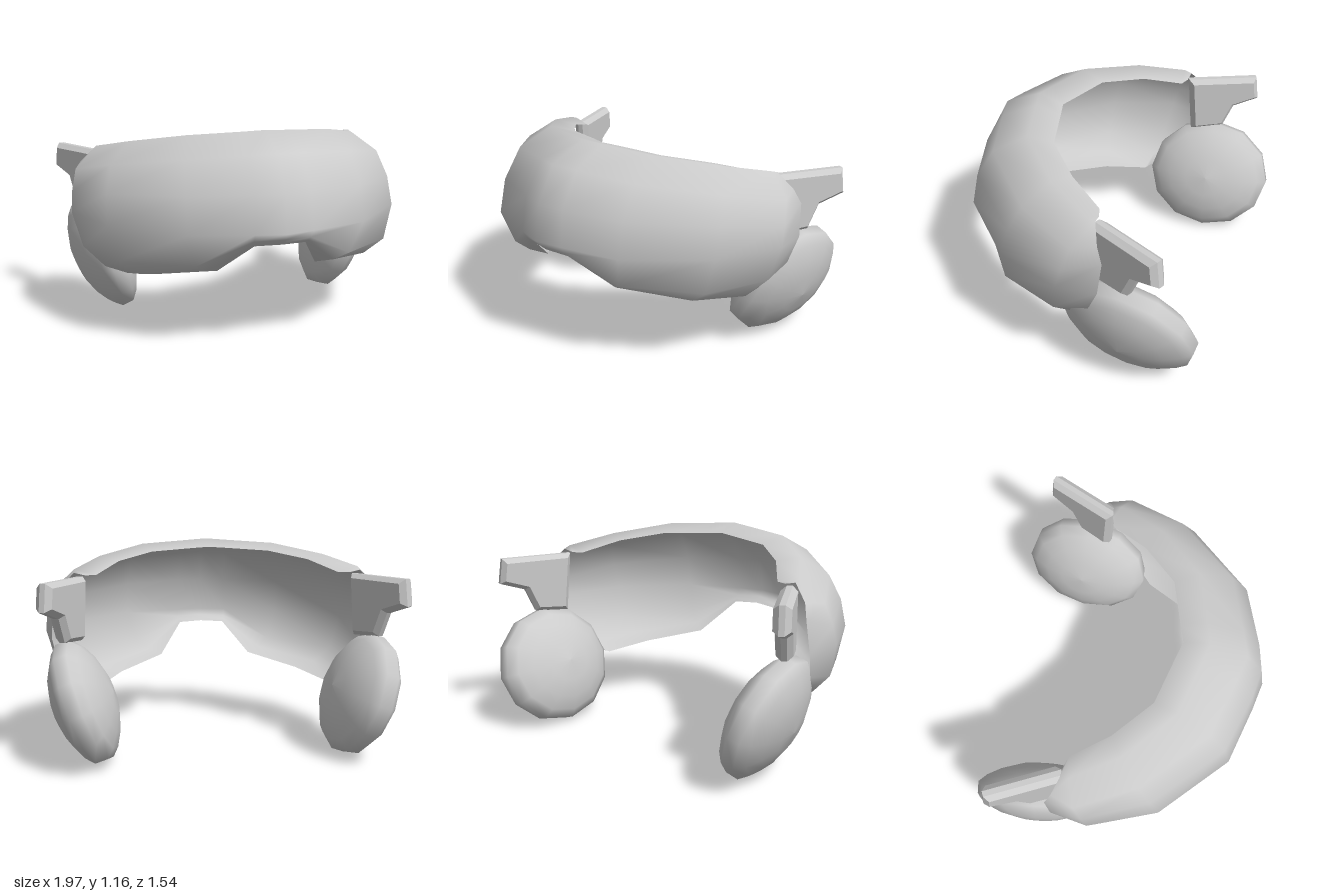
import * as THREE from 'three';

const material = new THREE.MeshStandardMaterial({ color: 0xcccccc });
const shellMaterial = new THREE.MeshStandardMaterial({ color: 0xcccccc, side: THREE.DoubleSide });

// Cross-sections of half the visor, centre to end; each runs from top rim to bottom rim
const sections = [
  [[0, 1.11, 0.29], [0, 1.155, 0.43], [0, 1.06, 0.64], [0, 0.87, 0.74], [0, 0.67, 0.772], [0, 0.635, 0.74], [0, 0.615, 0.72], [0, 0.6, 0.7]],
  [[0.1, 1.105, 0.26], [0.12, 1.147, 0.4], [0.14, 1.053, 0.6], [0.15, 0.87, 0.71], [0.16, 0.67, 0.735], [0.155, 0.63, 0.71], [0.15, 0.61, 0.69], [0.14, 0.595, 0.67]],
  [[0.35, 1.09, 0.19], [0.4, 1.13, 0.32], [0.46, 1.03, 0.5], [0.48, 0.86, 0.6], [0.485, 0.67, 0.64], [0.43, 0.49, 0.59], [0.36, 0.445, 0.54], [0.28, 0.42, 0.47]],
  [[0.55, 1.05, 0], [0.66, 1.075, 0.07], [0.78, 0.97, 0.18], [0.82, 0.83, 0.25], [0.83, 0.67, 0.3], [0.78, 0.47, 0.31], [0.67, 0.385, 0.28], [0.54, 0.36, 0.24]],
  [[0.68, 0.99, -0.2], [0.8, 1.02, -0.18], [0.925, 0.9, -0.14], [0.955, 0.78, -0.1], [0.965, 0.67, -0.07], [0.915, 0.48, -0.03], [0.8, 0.36, 0], [0.68, 0.315, 0.02]],
  [[0.74, 0.99, -0.22], [0.8, 1.005, -0.225], [0.88, 0.92, -0.265], [0.91, 0.84, -0.3], [0.925, 0.66, -0.28], [0.9, 0.52, -0.22], [0.85, 0.43, -0.17], [0.7, 0.325, 0]],
];

function loft(rows) {
  const n = rows[0].length;
  const index = [];
  for (let i = 0; i < rows.length - 1; i++) {
    for (let j = 0; j < n - 1; j++) {
      const a = i * n + j, c = a + n;
      index.push(a, a + 1, c, c, a + 1, c + 1);
    }
  }
  const geometry = new THREE.BufferGeometry();
  geometry.setAttribute('position', new THREE.Float32BufferAttribute(rows.flat(2), 3));
  geometry.setIndex(index);
  geometry.computeVertexNormals();
  return geometry;
}

function named(name, geometry, mat = material) {
  const mesh = new THREE.Mesh(geometry, mat);
  mesh.name = name;
  return mesh;
}

// Lens-shaped ear pad with a narrow flat rim
function earPad() {
  const half = [[0, 0.165], [0.12, 0.153], [0.22, 0.12], [0.295, 0.078], [0.34, 0.035]];
  const profile = [...half.map(([r, h]) => [r, -h]), ...half.slice().reverse()]
    .map(([r, h]) => new THREE.Vector2(r, h));
  const pad = named('earPad', new THREE.LatheGeometry(profile, 12));
  pad.scale.z = 1.1;
  pad.rotation.set(0, -0.1, -THREE.MathUtils.degToRad(110));
  pad.position.set(0.755, 0.33, -0.395);
  return pad;
}

// Bevelled bracket behind the visor end, slanting outward to the back
function hinge() {
  const outline = [[-0.01, 0.985], [0.02, 0.64], [0.22, 0.655], [0.28, 0.79], [0.43, 0.84], [0.41, 0.985]];
  const shape = new THREE.Shape(outline.map(([u, y]) => new THREE.Vector2(u, y)));
  const geometry = new THREE.ExtrudeGeometry(shape, {
    depth: 0.03, bevelThickness: 0.03, bevelSize: 0.025, bevelOffset: -0.025, bevelSegments: 1,
  });
  geometry.translate(0, 0, -0.015);
  const bracket = named('hinge', geometry);
  bracket.rotation.y = THREE.MathUtils.degToRad(64.6);
  bracket.position.set(0.77, 0, -0.23);
  return bracket;
}

export function createModel() {
  const model = new THREE.Group();
  model.name = 'visorHeadset';

  // Visor shell, mirrored about the centre section
  const mirrored = sections.slice(1).reverse().map(row => row.map(([x, y, z]) => [-x, y, z]));
  model.add(named('visorShell', loft([...mirrored, ...sections]), shellMaterial));

  for (const side of [1, -1]) {
    const assembly = new THREE.Group();
    assembly.name = side > 0 ? 'leftEarAssembly' : 'rightEarAssembly';
    assembly.add(earPad(), hinge());
    assembly.scale.x = side;
    model.add(assembly);
  }
  return model;
}
